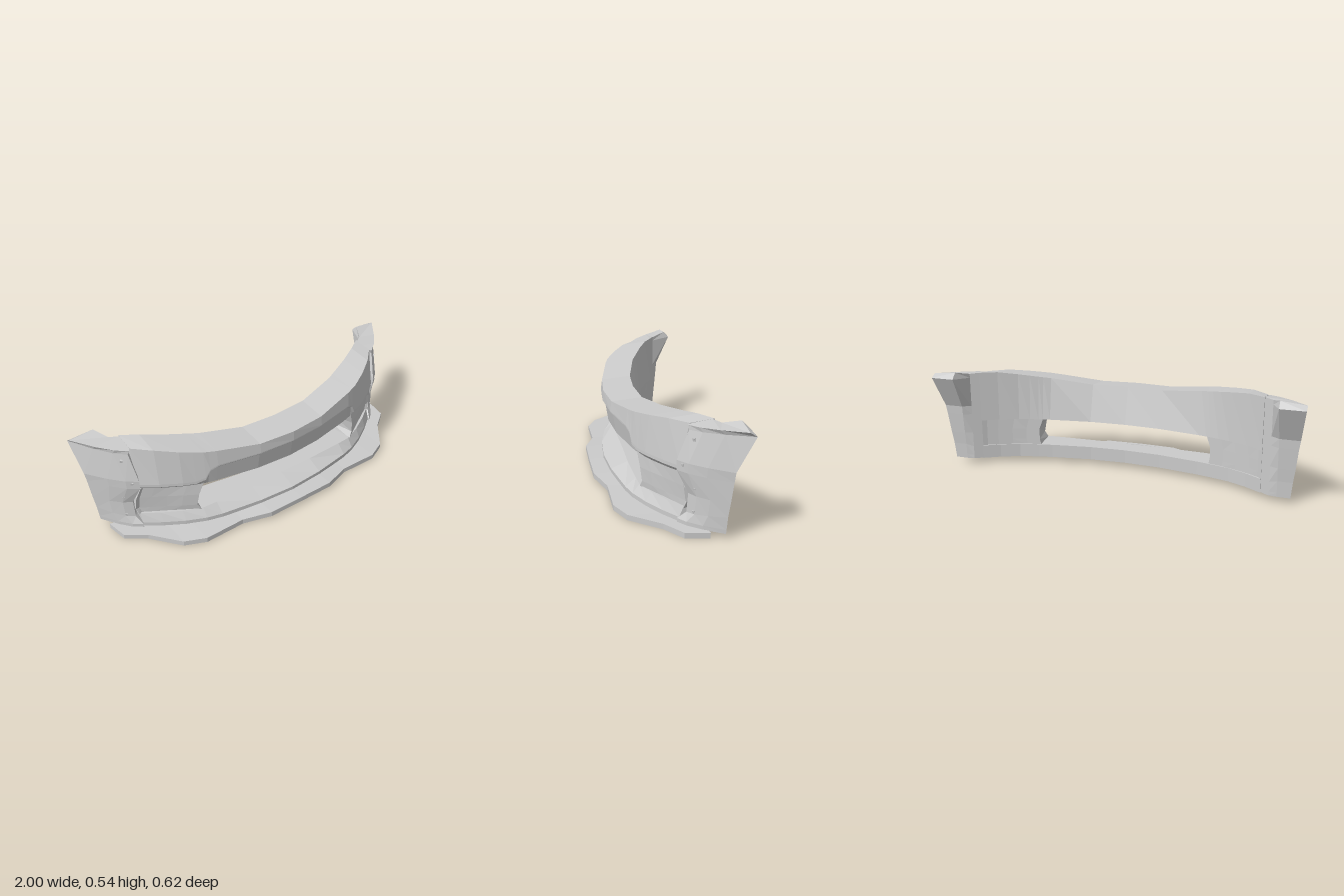
import * as THREE from 'three';

const material = new THREE.MeshStandardMaterial({ color: 0xcccccc, flatShading: true });
const lerp = THREE.MathUtils.lerp;

// Piecewise-linear curve through [x, value] pairs, symmetric in x
const curve = (pts) => (x) => {
  const a = Math.abs(x);
  for (let i = 1; i < pts.length; i++) {
    const [x0, v0] = pts[i - 1], [x1, v1] = pts[i];
    if (a <= x1) return lerp(v0, v1, (a - x0) / (x1 - x0));
  }
  return pts[pts.length - 1][1];
};

// Closed solid through a row of section loops, with capped ends
function loft(name, sections) {
  const tris = [], n = sections[0].length;
  for (let s = 0; s + 1 < sections.length; s++) {
    for (let i = 0; i < n; i++) {
      const j = (i + 1) % n, p = sections[s], q = sections[s + 1];
      tris.push([p[i], p[j], q[j]], [p[i], q[j], q[i]]);
    }
  }
  // Each cap is a ladder between the two halves of its loop
  const cap = (loop, flip) => {
    const add = (a, b, c) => tris.push(flip ? [a, b, c] : [a, c, b]);
    for (let i = 0, j = n - 1; i + 1 < j; i++, j--) {
      add(loop[i], loop[i + 1], loop[j]);
      if (i + 1 < j - 1) add(loop[i + 1], loop[j - 1], loop[j]);
    }
  };
  cap(sections[0], false);
  cap(sections[sections.length - 1], true);
  // Turn the faces outward by the sign of the volume
  const v = (p) => new THREE.Vector3(...p);
  const volume = tris.reduce((t, [a, b, c]) => t + v(a).dot(v(b).cross(v(c))), 0);
  const flat = tris.flatMap(([a, b, c]) => (volume > 0 ? [a, b, c] : [a, c, b])).flat();
  const geometry = new THREE.BufferGeometry();
  geometry.setAttribute('position', new THREE.Float32BufferAttribute(flat, 3));
  geometry.computeVertexNormals();
  const mesh = new THREE.Mesh(geometry, material);
  mesh.name = name;
  return mesh;
}

const mirrored = (xs) => [...xs.slice().reverse().map((x) => -x), ...xs.filter((x) => x > 0)];

// Plan curves of the bumper (z over x) and its top line (y over x)
const front = curve([[0, 0.228], [0.2, 0.213], [0.42, 0.17], [0.5, 0.147], [0.6, 0.1], [0.7, 0.038], [0.78, -0.02], [0.82, -0.06]]);
const back = curve([[0, 0.01], [0.2, 0], [0.45, -0.04], [0.6, -0.08], [0.75, -0.15], [0.82, -0.21]]);
const backTop = curve([[0, 0.062], [0.2, 0.048], [0.43, -0.005], [0.6, -0.075], [0.75, -0.15], [0.82, -0.21]]);
const top = curve([[0, 0.45], [0.2, 0.45], [0.47, 0.486], [0.7, 0.52], [0.8, 0.522]]);

// Upper beam with a raised lip that drops towards the corner pockets
function upperBeam() {
  const lip = curve([[0, 0.38], [0.43, 0.378], [0.47, 0.36], [0.495, 0.31], [0.54, 0.292], [0.8, 0.287]]);
  const inset = curve([[0, 0], [0.5, 0.008], [0.7, 0.02], [0.8, 0.04]]);
  const xs = [0, 0.2, 0.43, 0.47, 0.495, 0.54, 0.6, 0.7, 0.785];
  return loft('upperBeam', mirrored(xs).map((x) => {
    const f = front(x), b = back(x), t = top(x), l = lip(x);
    return [
      [x, t, backTop(x)],
      [x, t - 0.014, f - inset(x) - 0.004],
      [x, lerp(t, l, 0.93), f],
      [x, l, f],
      [x, l - 0.014, f - 0.014],
      [x, 0.265, f - 0.03],
      [x, 0.248, Math.max(f - 0.095, b + 0.02)],
      [x, 0.248, b],
    ];
  }));
}

// Lower bar with a chin sloping up to the sill of the opening
function lowerBar() {
  const sill = curve([[0, 0.105], [0.3, 0.08], [0.5, 0.035], [0.78, 0.02]]);
  const chin = curve([[0, 0.066], [0.2, 0.064], [0.42, 0.055], [0.8, 0.049]]);
  const base = curve([[0, 0.044], [0.2, 0.042], [0.42, 0.032], [0.8, 0.027]]);
  const xs = [0, 0.2, 0.42, 0.5, 0.6, 0.7, 0.785];
  return loft('lowerBar', mirrored(xs).map((x) => {
    const f = front(x), b = back(x);
    return [
      [x, 0.1, b], [x, 0.1, f - sill(x)], [x, chin(x), f],
      [x, base(x), f], [x, 0.027, f - 0.03], [x, 0.027, b],
    ];
  }));
}

// Splitter plate below the chin, raised in the middle
function splitter() {
  const nose = curve([[0, 0.308], [0.2, 0.305], [0.35, 0.252], [0.57, 0.252], [0.68, 0.2], [0.8, 0.05], [0.9, -0.025], [0.92, -0.14]]);
  const tail = curve([[0, 0.16], [0.2, 0.15], [0.35, 0.12], [0.57, 0.07], [0.68, 0.02], [0.8, -0.07], [0.905, -0.14]]);
  const lift = curve([[0, 0.018], [0.2, 0.016], [0.35, 0.006], [0.57, 0.003], [0.68, 0], [0.92, 0]]);
  const xs = [0, 0.2, 0.35, 0.57, 0.68, 0.8, 0.9, 0.92];
  return loft('splitter', mirrored(xs).map((x) => {
    const y = lift(x);
    return [[x, y, tail(x)], [x, y, nose(x)], [x, y + 0.028, nose(x)], [x, y + 0.028, tail(x) - 0.001]];
  }));
}

// Recessed corner pocket; its inner end is the side wall of the opening
function cornerPocket(side) {
  const rows = [[0.275, 0.495, 0.775], [0.2, 0.52, 0.797], [0.13, 0.53, 0.802], [0.095, 0.51, 0.79]]; // y, inner x, outer x
  return loft('cornerPocket', [0, 0.25, 0.5, 0.75, 0.93, 1].map((u) => {
    const depth = u === 1 ? 0.008 : 0.025 + 0.012 * Math.sin(Math.PI * u);
    const face = rows.map(([y, x0, x1]) => {
      const x = lerp(x0, x1, u);
      return [side * x, y, front(x) - depth - (0.2 - Math.min(y, 0.2)) * 0.05];
    });
    const wall = [[0.095, 0.485], [0.13, 0.493], [0.19, 0.493], [0.255, 0.47]].map(([y, x0]) => {
      const x = lerp(x0, 0.785, u);
      return [side * x, y, back(x) + 0.007];
    });
    return [...face, ...wall];
  }));
}

// Side panel from the angular seam to the flared rear end
function sidePanel(side) {
  const seam = [
    [0.795, 0.503, -0.056], [0.802, 0.482, -0.06], [0.784, 0.335, -0.01], [0.784, 0.287, -0.01],
    [0.81, 0.18, -0.06], [0.807, 0.085, -0.053], [0.787, 0.047, -0.014], [0.787, 0.026, -0.014],
  ];
  const rear = [
    [1, 0.525, -0.278], [1, 0.505, -0.31], [0.975, 0.335, -0.231], [0.968, 0.287, -0.227],
    [0.957, 0.18, -0.217], [0.948, 0.11, -0.21], [0.942, 0.047, -0.207], [0.94, 0.026, -0.206],
  ];
  // Share of the way back, outward bulge, inner x, inner z, inner top y
  const stations = [
    [0, 0, 0.75, -0.145, 0.518], [0.22, 0.012, 0.785, -0.17, 0.52],
    [0.55, 0.012, 0.83, -0.2, 0.517], [1, 0, 0.872, null, 0.537],
  ];
  return loft('sidePanel', stations.map(([u, bulge, ix, iz, iy]) => {
    const outer = seam.map((p, i) => [
      lerp(p[0], rear[i][0], u) + bulge, lerp(p[1], rear[i][1], u), lerp(p[2], rear[i][2], u) + bulge * 0.6,
    ]);
    const inner = outer.map(([, y, z], i) => [ix, i ? y : iy, iz ?? z]).reverse();
    return [...outer, ...inner].map(([x, y, z]) => [side * x, y, z]);
  }));
}

// Four small fasteners along the seam
function fasteners(side) {
  const group = new THREE.Group();
  group.name = 'fasteners';
  const spots = [[0.83, 0.447, -0.08], [0.808, 0.32, -0.038], [0.843, 0.215, -0.084], [0.84, 0.1, -0.084]];
  for (const [x, y, z] of spots) {
    const bolt = new THREE.Mesh(new THREE.BoxGeometry(0.012, 0.015, 0.02), material);
    bolt.name = 'fastener';
    bolt.position.set(side * x, y, z);
    bolt.rotation.set(0.3, side * 0.75, 0);
    group.add(bolt);
  }
  return group;
}

export function createModel() {
  const model = new THREE.Group();
  model.name = 'frontBumper';
  model.add(upperBeam(), lowerBar(), splitter());
  for (const side of [1, -1]) model.add(cornerPocket(side), sidePanel(side), fasteners(side));
  return model;
}
